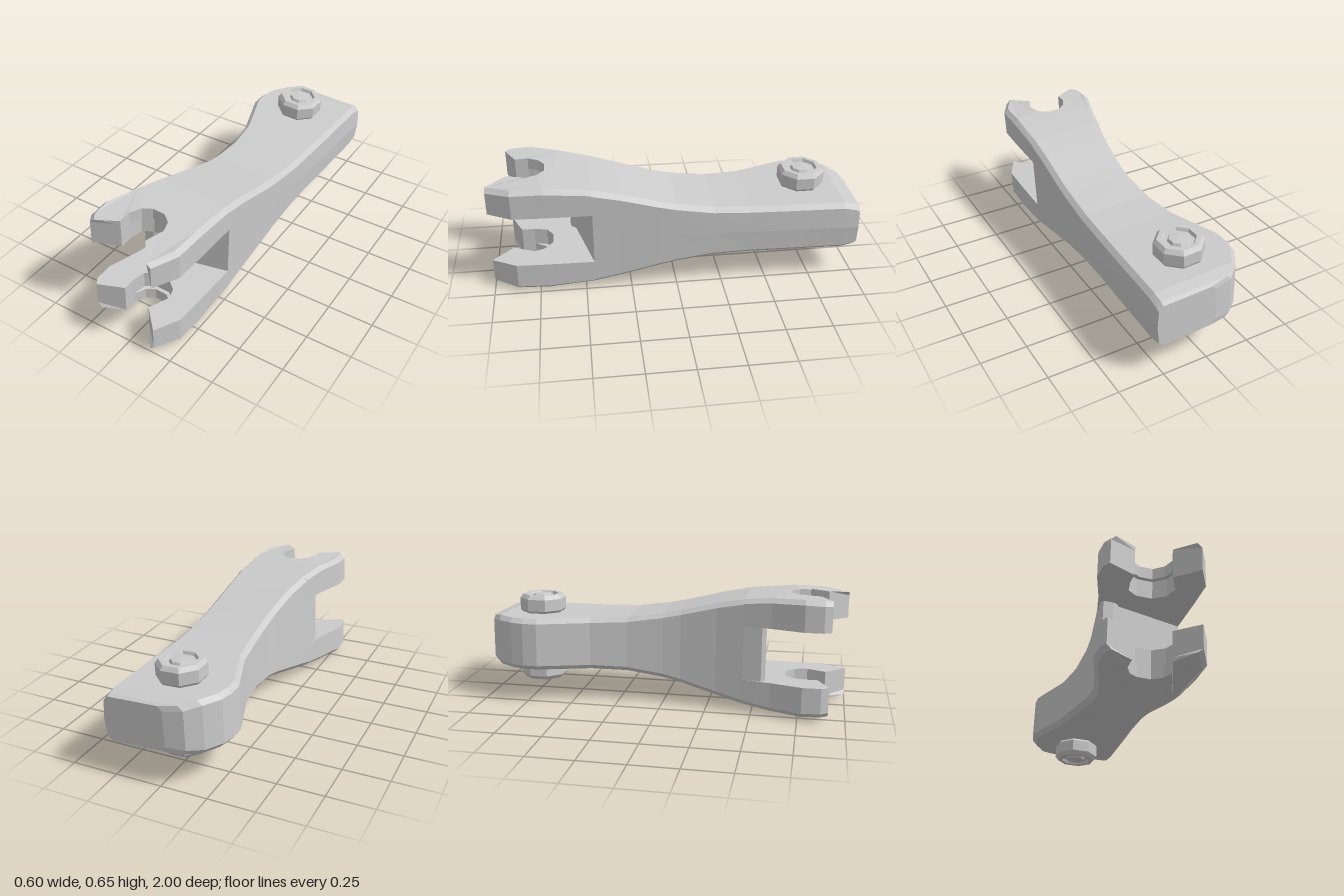
import * as THREE from 'three';

const material = new THREE.MeshStandardMaterial({ color: 0xcccccc, flatShading: true, side: THREE.DoubleSide });

function part(name, geometry) {
  const flat = geometry.index ? geometry.toNonIndexed() : geometry;
  flat.computeVertexNormals();
  const mesh = new THREE.Mesh(flat, material);
  mesh.name = name;
  return mesh;
}

// Half height of the arm along z; the arm is symmetric about y = 0
const heights = [[-1, 0.12], [-0.95, 0.142], [-0.3, 0.145], [-0.1, 0.16], [0.1, 0.205],
  [0.4, 0.282], [0.6, 0.307], [0.75, 0.315], [0.9, 0.308], [1, 0.295]];
// Left and right plan edges along z
const edges = [[-1, -0.03, 0.288], [-0.98, -0.13, 0.288], [-0.92, -0.2, 0.287], [-0.83, -0.258, 0.284],
  [-0.76, -0.275, 0.282], [-0.68, -0.275, 0.28], [-0.58, -0.24, 0.277], [-0.4, -0.178, 0.27],
  [-0.2, -0.148, 0.265], [0, -0.138, 0.26], [0.1, -0.141, 0.258], [0.3, -0.165, 0.25], [0.45, -0.197, 0.247]];

function halfHeight(z) {
  for (let i = 1; i < heights.length; i++) {
    const [z0, h0] = heights[i - 1], [z1, h1] = heights[i];
    if (z <= z1) return h0 + (h1 - h0) * (z - z0) / (z1 - z0);
  }
  return heights[heights.length - 1][1];
}

// Chamfered cross-sections joined along the arm
function armGeometry() {
  const pos = [], index = [], c = 0.025, n = 9;
  for (const [z, l, r] of edges) {
    const h = halfHeight(z), ridge = 0.008 * Math.max(0, -z);
    for (const [x, y] of [[r + ridge, 0], [r, h - c], [r - c, h], [l + c, h], [l, h - c],
      [l, c - h], [l + c, -h], [r - c, -h], [r, c - h]]) pos.push(x, y, z);
  }
  const last = (edges.length - 1) * n;
  for (let i = 0; i < last; i += n) {
    for (let j = 0; j < n; j++) {
      const a = i + j, b = i + (j + 1) % n;
      index.push(a, b, b + n, a, b + n, a + n);
    }
  }
  for (let j = 1; j < n - 1; j++) {
    index.push(0, j + 1, j, last, last + j, last + j + 1);
  }
  const g = new THREE.BufferGeometry();
  g.setAttribute('position', new THREE.Float32BufferAttribute(pos, 3));
  g.setIndex(index);
  return g;
}

// Extrude an [x, z] outline upwards (s = 1) or downwards (s = -1)
function planExtrude(points, s, depth, steps) {
  const shape = new THREE.Shape(points.map(([x, z]) => new THREE.Vector2(x, -s * z)));
  return new THREE.ExtrudeGeometry(shape, { depth, steps, bevelEnabled: false }).rotateX(-s * Math.PI / 2);
}

// Fork plate with an open notch, wider on its inner side, and chamfered outer edges
function prongGeometry(s) {
  const outline = [[-0.197, 0.45], [-0.235, 0.6], [-0.29, 0.77], [-0.288, 0.87], [-0.265, 0.91],
    [-0.125, 0.85], [-0.125, 0.78], [-0.095, 0.72], [-0.05, 0.69], [0.02, 0.69], [0.07, 0.73],
    [0.09, 0.79], [0.055, 0.89], [0.165, 1], [0.235, 0.87], [0.242, 0.7], [0.247, 0.45]];
  const levels = [0, 0.6, 0.62, 0.85, 1];
  const g = planExtrude(outline, s, 4, 4);
  const p = g.attributes.position;
  for (let i = 0; i < p.count; i++) {
    let x = p.getX(i), z = p.getZ(i);
    const k = Math.round(Math.abs(p.getY(i)));
    const y = 0.147 + (halfHeight(z) - 0.147) * levels[k];
    if (k === 4 && Math.abs(x) > 0.16) x -= Math.sign(x) * 0.025;
    if (k < 2 && Math.abs(x) < 0.11 && z < 0.8) {
      x += (x + 0.01) * 0.18;
      z += (z - 0.79) * 0.18;
    }
    p.setXYZ(i, x, s * y, z);
  }
  return g;
}

// Eight-sided nut with a recessed ring around the bolt end
function nutGeometry() {
  const profile = [[0.118, 0], [0.13, 0.015], [0.13, 0.08], [0.112, 0.102], [0.088, 0.102],
    [0.08, 0.085], [0.06, 0.085], [0.052, 0.1], [0, 0.104]];
  return new THREE.LatheGeometry(profile.map(([x, y]) => new THREE.Vector2(x, y)), 8, Math.PI / 8);
}

export function createModel() {
  const model = new THREE.Group();
  model.name = 'forkedLever';
  const tilted = new THREE.Group();
  tilted.name = 'lever';
  tilted.position.y = 0.322;
  tilted.rotation.z = -0.04;
  model.add(tilted);

  tilted.add(part('arm', armGeometry()));

  // Slanted wall at the bottom of the fork slot
  const web = planExtrude([[-0.197, 0.45], [-0.212, 0.55], [-0.2, 0.57], [-0.145, 0.57],
    [-0.125, 0.56], [-0.11, 0.54], [0.247, 0.45]], 1, 0.296, 1);
  tilted.add(part('slotWall', web.translate(0, -0.148, 0)));

  for (const s of [1, -1]) {
    const side = s > 0 ? 'upper' : 'lower';
    tilted.add(part(side + 'Prong', prongGeometry(s)));
    const nut = part(side + 'Nut', nutGeometry());
    nut.position.set(0.005, s * 0.142, -0.73);
    if (s < 0) nut.rotation.x = Math.PI;
    tilted.add(nut);
  }
  return model;
}
